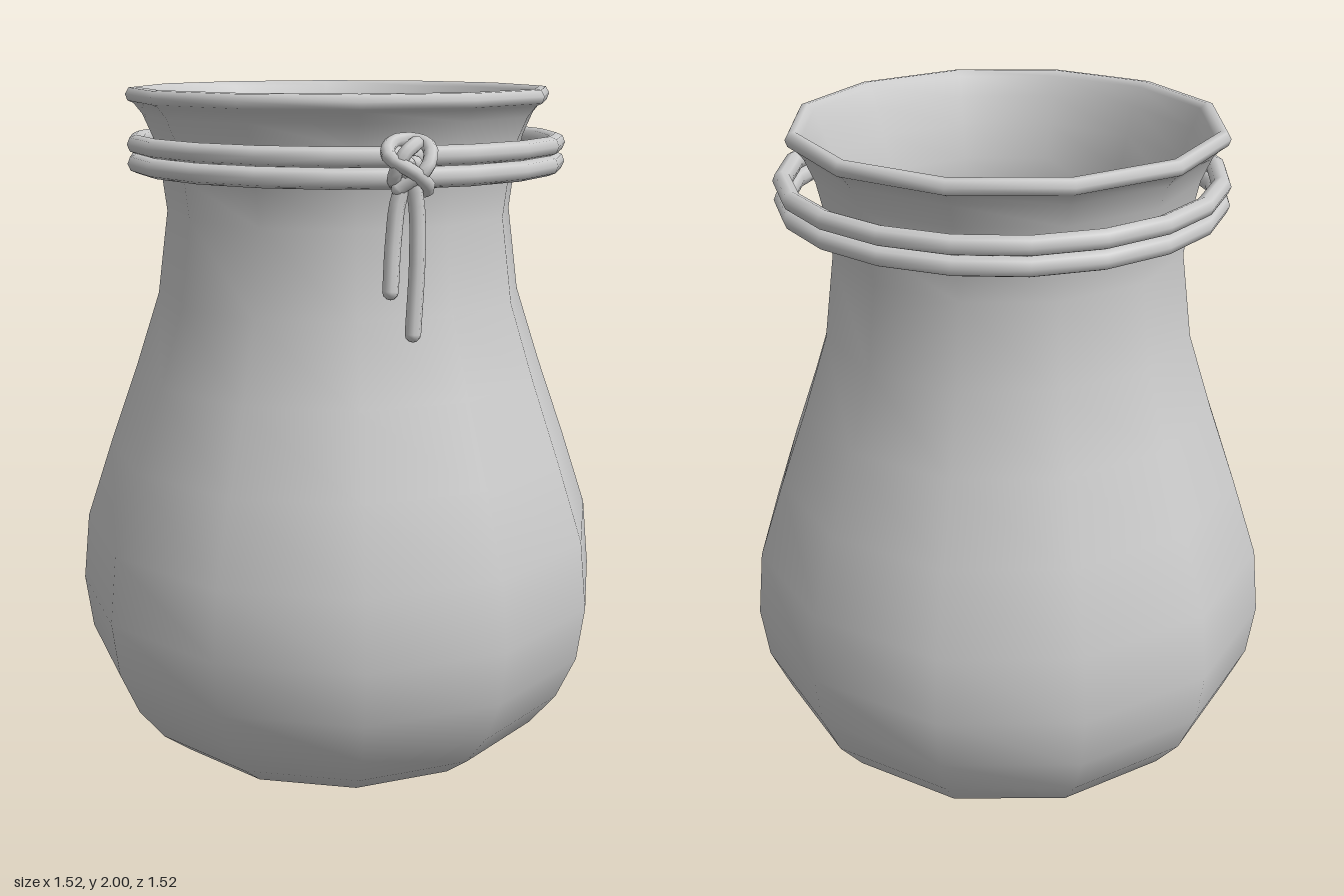
import * as THREE from 'three';

const material = new THREE.MeshStandardMaterial({ color: 0xcccccc });

function addMesh(group, name, geometry) {
  const mesh = new THREE.Mesh(geometry, material);
  mesh.name = name;
  group.add(mesh);
  return mesh;
}

// Twelve-sided body; profile widths are measured across the flats
function sackBody() {
  const profile = [
    // outside, bottom to rim
    [0, 0.005], [0.36, 0.01], [0.525, 0.07], [0.61, 0.14], [0.685, 0.24], [0.74, 0.37],
    [0.76, 0.53], [0.74, 0.73], [0.665, 0.96], [0.585, 1.19], [0.515, 1.41], [0.484, 1.65],
    [0.497, 1.76], [0.518, 1.86], [0.545, 1.925], [0.568, 1.955],
    // rolled rim
    [0.584, 1.962], [0.59, 1.98], [0.58, 1.998], [0.562, 2], [0.546, 1.985],
    // inside, rim to floor
    [0.525, 1.93], [0.495, 1.85], [0.472, 1.75], [0.46, 1.65], [0.492, 1.41], [0.562, 1.19],
    [0.642, 0.96], [0.717, 0.73], [0.737, 0.53], [0.717, 0.38], [0.665, 0.26], [0.59, 0.165],
    [0.51, 0.1], [0.35, 0.04], [0, 0.035],
  ];
  const sides = 12;
  const half = Math.PI / sides;
  const points = profile.map(([w, y]) => new THREE.Vector2(w / Math.cos(half), y));
  return new THREE.LatheGeometry(points, sides, half);
}

// Rope along a smooth path, with rounded ends
function addRope(group, name, points, radius, segments) {
  const curve = new THREE.CatmullRomCurve3(points.map((p) => new THREE.Vector3(...p)));
  addMesh(group, name, new THREE.TubeGeometry(curve, segments, radius, 8));
  [0, 1].forEach((t) => {
    const cap = addMesh(group, name + 'End', new THREE.SphereGeometry(radius, 8, 6));
    cap.position.copy(curve.getPoint(t));
  });
}

export function createModel() {
  const model = new THREE.Group();
  model.name = 'tiedSack';

  addMesh(model, 'sackBody', sackBody());

  // Two loose turns of rope round the neck
  [1.845, 1.792].forEach((y, i) => {
    const ring = addMesh(model, i ? 'lowerRope' : 'upperRope', new THREE.TorusGeometry(0.604, 0.027, 8, 20));
    ring.rotation.x = Math.PI / 2;
    ring.position.set(0.008, y, -0.017);
  });

  // Knot: local x runs along the rope, z points away from the sack
  const knot = new THREE.Group();
  knot.name = 'knot';
  knot.position.set(0.505, 1.82, 0.335);
  knot.rotation.y = Math.atan2(0.505, 0.335);
  model.add(knot);
  addRope(knot, 'knotLoop', [
    [-0.035, -0.05, 0.03], [0.03, 0.0, 0.055], [0.05, 0.05, 0.02], [0.02, 0.065, -0.03],
    [-0.035, 0.06, -0.02], [-0.06, 0.03, 0.03], [0, -0.01, 0.06], [0.045, -0.05, 0.03],
    [0.02, -0.065, -0.03],
  ], 0.019, 28);
  addRope(knot, 'knotWrap', [
    [-0.01, -0.06, -0.03], [-0.045, -0.02, 0.03], [-0.025, 0.035, 0.045], [0.015, 0.06, 0.02],
    [0.01, 0.04, -0.035],
  ], 0.019, 18);

  // Two loose ends hanging from the knot
  addRope(model, 'shortEnd', [
    [0.53, 1.83, 0.34], [0.51, 1.75, 0.375], [0.508, 1.64, 0.395], [0.516, 1.515, 0.415],
  ], 0.021, 12);
  addRope(model, 'longEnd', [
    [0.53, 1.83, 0.37], [0.54, 1.74, 0.345], [0.55, 1.6, 0.35], [0.556, 1.405, 0.372],
  ], 0.021, 12);

  return model;
}
